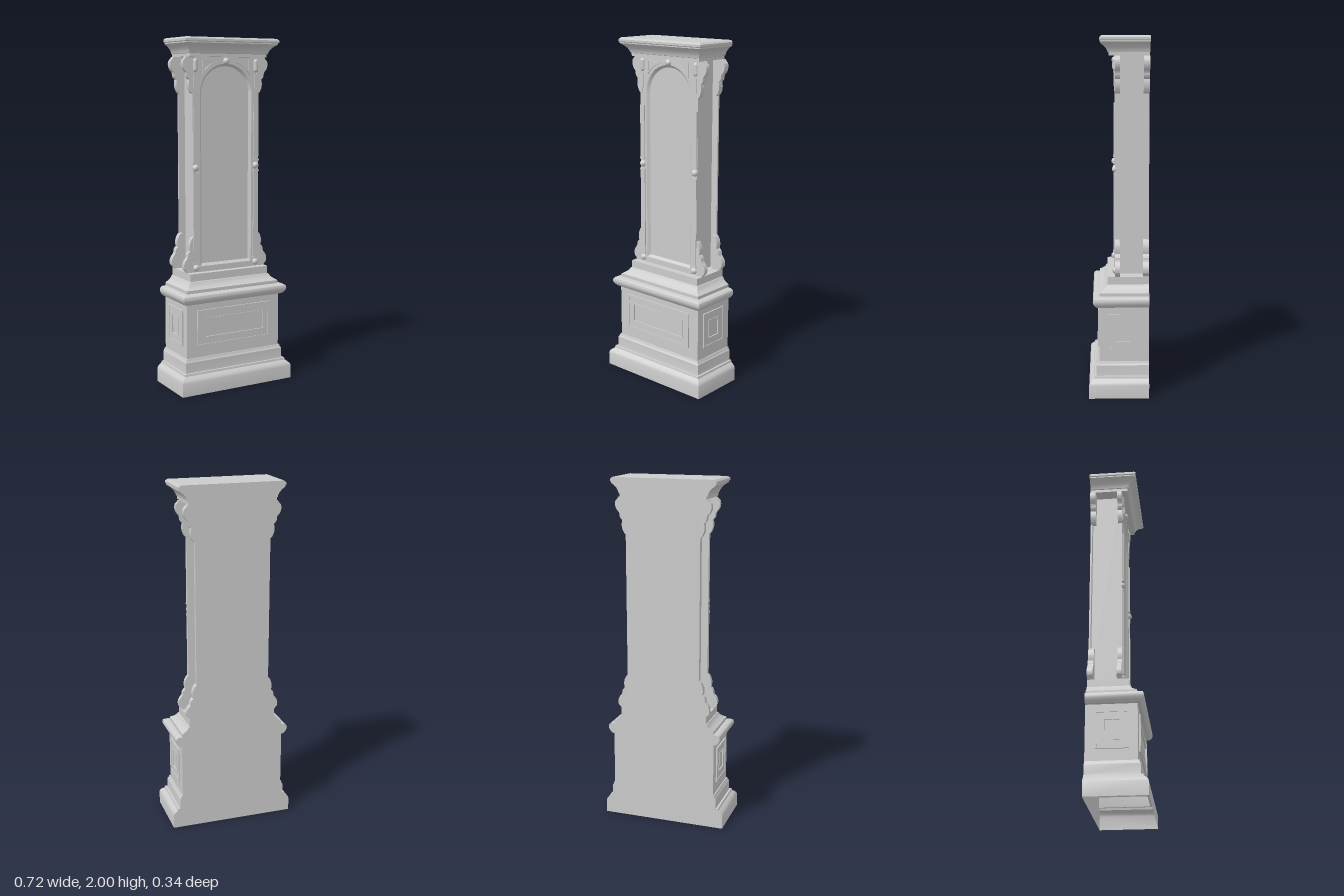
import * as THREE from 'three';
import { toCreasedNormals } from 'three/addons/utils/BufferGeometryUtils.js';

const BACK = -0.168;   // flat rear plane
const INSET = 0.194;   // front z = half width - INSET
const mat = new THREE.MeshStandardMaterial({ color: 0xcccccc, side: THREE.DoubleSide });

export function createModel() {
  const group = new THREE.Group();

  const add = (name, geo, x = 0, y = 0, z = 0, parent = group) => {
    const m = new THREE.Mesh(geo, mat);
    m.name = name;
    m.position.set(x, y, z);
    parent.add(m);
    return m;
  };
  const box = (name, x0, x1, y0, y1, z0, z1) =>
    add(name, new THREE.BoxGeometry(x1 - x0, y1 - y0, z1 - z0), (x0 + x1) / 2, (y0 + y1) / 2, (z0 + z1) / 2);
  const buffer = (pos, idx) => {
    const g = new THREE.BufferGeometry();
    g.setAttribute('position', new THREE.Float32BufferAttribute(pos, 3));
    g.setIndex(idx);
    return toCreasedNormals(g, 0.6);
  };
  const extrude = (shape, depth) =>
    toCreasedNormals(new THREE.ExtrudeGeometry(shape, { depth, bevelEnabled: false, curveSegments: 24 }), 0.6);

  // Moulding run: [half width, y] profile swept round front and sides, flat at the rear
  const moulding = (profile, capBottom) => {
    const pos = [], idx = [], n = profile.length;
    for (const [w, y] of profile)
      pos.push(-w, y, w - INSET, w, y, w - INSET, w, y, BACK, -w, y, BACK);
    for (let k = 0; k < n - 1; k++)
      for (let i = 0; i < 4; i++) {
        const a = k * 4 + i, b = k * 4 + (i + 1) % 4;
        idx.push(a, b, b + 4, a, b + 4, a + 4);
      }
    const t = (n - 1) * 4;
    idx.push(t, t + 1, t + 2, t, t + 2, t + 3);
    if (capBottom) idx.push(0, 2, 1, 0, 3, 2);
    return buffer(pos, idx);
  };

  add('pedestal', moulding([
    [0.362, 0], [0.362, 0.075], [0.358, 0.088], [0.348, 0.098], [0.336, 0.108], [0.334, 0.12],
    [0.322, 0.12], [0.32, 0.135], [0.32, 0.18], [0.314, 0.188], [0.311, 0.2], [0.305, 0.2],
    [0.305, 0.512], [0.318, 0.514], [0.33, 0.526], [0.338, 0.54], [0.34, 0.552], [0.336, 0.564], [0.325, 0.572],
    [0.302, 0.574], [0.302, 0.592], [0.285, 0.602], [0.27, 0.615], [0.262, 0.63], [0.257, 0.632], [0.257, 0.675],
  ]));
  add('cornice', moulding([
    [0.248, 1.895], [0.248, 1.912], [0.253, 1.914], [0.256, 1.925], [0.264, 1.94],
    [0.278, 1.955], [0.296, 1.968], [0.296, 1.974], [0.301, 1.978], [0.301, 1.99], [0.29, 2],
  ], true));

  // Pedestal panels: rim, field and sunken centre
  const rect = (w, h, C = THREE.Shape) => new C([
    new THREE.Vector2(-w, -h), new THREE.Vector2(w, -h), new THREE.Vector2(w, h), new THREE.Vector2(-w, h)]);
  const ring = (w, h, w2, h2, depth) => {
    const s = rect(w, h);
    s.holes.push(rect(w2, h2, THREE.Path));
    return extrude(s, depth);
  };
  const panel = (name, w, w2, x, z, turn) => {
    const p = new THREE.Group();
    p.name = name;
    add('panelRim', ring(w, 0.105, w - 0.01, 0.095, 0.008), 0, 0, 0, p);
    add('panelField', ring(w - 0.01, 0.095, w2, 0.053, 0.004), 0, 0, 0, p);
    add('panelBead', ring(w2 + 0.004, 0.057, w2, 0.053, 0.007), 0, 0, 0, p);
    p.position.set(x, 0.37, z);
    p.rotation.y = turn;
    group.add(p);
  };
  panel('frontPanel', 0.24, 0.192, 0, 0.305 - INSET, 0);
  panel('leftPanel', 0.09, 0.04, 0.305, -0.025, Math.PI / 2);
  panel('rightPanel', 0.09, 0.04, -0.305, -0.025, -Math.PI / 2);

  // Trunk: recessed core between a back board and a front frame
  box('trunkCore', -0.174, 0.174, 0.675, 1.9, -0.16, 0.005);
  box('backBoard', -0.215, 0.215, 0.675, 1.9, BACK, -0.158);

  // Arched outline of half width h
  const arch = (h, C = THREE.Shape) => {
    const s = new C();
    s.moveTo(-h, 0.875 - h);
    s.lineTo(h, 0.875 - h);
    s.lineTo(h, 1.69);
    s.absarc(0, 1.69, h, 0, Math.PI, false);
    s.lineTo(-h, 0.875 - h);
    return s;
  };
  const frame = new THREE.Shape([[-0.215, 0.675], [0.215, 0.675], [0.215, 1.9], [-0.215, 1.9]]
    .map(p => new THREE.Vector2(...p)));
  frame.holes.push(arch(0.168, THREE.Path));
  add('doorFrame', extrude(frame, 0.025), 0, 0, -0.005);

  // Sloping reveal round the arched door panel
  const outer = arch(0.168).getPoints(24), inner = arch(0.154).getPoints(24), pos = [], idx = [];
  outer.forEach((p, i) => {
    pos.push(p.x, p.y, 0.02, inner[i].x, inner[i].y, 0.0055);
    if (i) idx.push(2 * i - 2, 2 * i, 2 * i + 1, 2 * i - 2, 2 * i + 1, 2 * i - 1);
  });
  add('archReveal', buffer(pos, idx));
  box('doorSill', -0.18, 0.18, 0.675, 0.708, 0.015, 0.024);

  // Scrolled bracket outline, y measured from its wide end
  const bracket = (up) => {
    const s = new THREE.Shape();
    const P = (x, y) => [x, up ? 0.675 + y : 1.895 - y];
    s.moveTo(...P(0.2, 0));
    s.lineTo(...P(0.255, 0));
    s.quadraticCurveTo(...P(0.262, 0.012), ...P(0.272, 0.02));
    s.quadraticCurveTo(...P(0.282, 0.05), ...P(0.262, 0.075));
    s.quadraticCurveTo(...P(0.25, 0.085), ...P(0.25, 0.1));
    s.quadraticCurveTo(...P(0.25, 0.115), ...P(0.234, 0.125));
    s.quadraticCurveTo(...P(0.243, 0.16), ...P(0.23, 0.185));
    s.quadraticCurveTo(...P(0.226, 0.198), ...P(0.214, 0.205));
    s.lineTo(...P(0.2, 0.205));
    return s;
  };
  const ball = new THREE.SphereGeometry(0.02, 20, 14);
  const drop = new THREE.CapsuleGeometry(0.016, 0.045, 6, 16);

  for (const s of [-1, 1]) {
    const side = s > 0 ? 'left' : 'right';
    for (const up of [true, false])
      for (const [where, z] of [['Front', -0.005], ['Back', BACK]]) {
        const g = extrude(bracket(up), where === 'Front' ? 0.026 : 0.033);
        // Half turn about y mirrors the bracket to the other side
        const depth = where === 'Front' ? 0.026 : 0.033;
        const m = add(side + where + (up ? 'Lower' : 'Upper') + 'Bracket', g, 0, 0, s > 0 ? z : z + depth);
        if (s < 0) m.rotation.y = Math.PI;
      }

    // Pilaster strips, collars, bosses and drop
    const x = s * 0.197;
    for (const [y0, y1] of [[0.73, 1.24], [1.31, 1.62]])
      box(side + 'PilasterStrip', x - 0.016, x + 0.016, y0, y1, 0.015, 0.026);
    for (const y of [1.243, 1.307, 0.725])
      box(side + 'PilasterCollar', x - 0.019, x + 0.019, y - 0.005, y + 0.005, 0.015, 0.028);
    for (const y of [0.7, 1.275]) add(side + 'Boss', ball, x, y, 0.018);
    add(side + 'Drop', drop, x, 1.848, 0.016);
    box(side + 'DropStem', x - 0.012, x + 0.012, 1.72, 1.8, 0.015, 0.024);

    // Spandrel rim beside the arch
    const spandrel = (e) => {
      const pts = [];
      const r = 0.186 + e;
      const y1 = 1.88 - e, x1 = 0.152 - e;
      const aStart = Math.acos(x1 / r), aEnd = Math.min(Math.asin((y1 - 0.012 - 1.69) / r), 1.45);
      pts.push(new THREE.Vector2(s * x1, y1));
      for (let i = 12; i >= 0; i--) {
        const a = aStart + (aEnd - aStart) * i / 12;
        pts.push(new THREE.Vector2(s * r * Math.cos(a), 1.69 + r * Math.sin(a)));
      }
      return pts;
    };
    const rim = new THREE.Shape(spandrel(0));
    rim.holes.push(new THREE.Path(spandrel(0.007)));
    add(side + 'SpandrelRim', extrude(rim, 0.009), 0, 0, 0.018);
  }
  add('keystoneBoss', ball, 0, 1.872, 0.018);

  return group;
}
